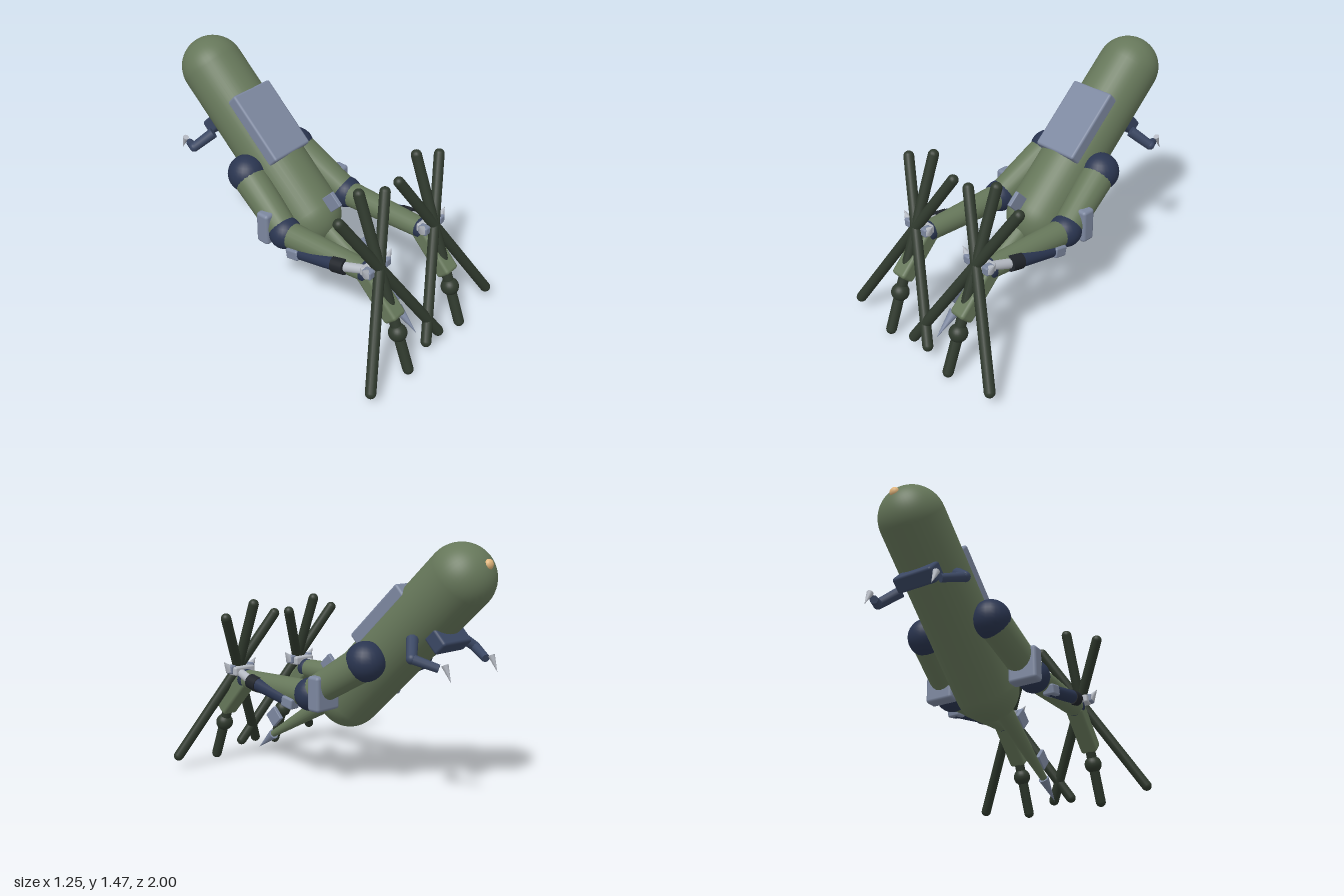
import * as THREE from 'three';
import { RoundedBoxGeometry } from 'three/addons/geometries/RoundedBoxGeometry.js';

const mat = (color) => new THREE.MeshStandardMaterial({ color });
const GREEN = mat(0x66775a), NAVY = mat(0x2a3550), ARM = mat(0x3a4763), STEEL = mat(0x7c879f);
const DARK = mat(0x2f392d), BLACK = mat(0x20242a), PALE = mat(0xb4b9c2), GLOW = mat(0xe3b67c);
const UP = new THREE.Vector3(0, 1, 0);
const V = (p) => new THREE.Vector3(...p);

function add(parent, name, geometry, material, pos = [0, 0, 0]) {
  const mesh = new THREE.Mesh(geometry, material);
  mesh.name = name;
  mesh.position.set(...pos);
  parent.add(mesh);
  return mesh;
}

// Put a y-aligned mesh between two points
function span(mesh, a, b) {
  mesh.position.copy(V(a)).add(V(b)).multiplyScalar(0.5);
  mesh.quaternion.setFromUnitVectors(UP, V(b).sub(V(a)).normalize());
  return mesh;
}
const dist = (a, b) => V(a).distanceTo(V(b));
const rod = (parent, name, a, b, ra, rb, material, sides = 20) =>
  span(add(parent, name, new THREE.CylinderGeometry(rb, ra, dist(a, b), sides), material), a, b);
const capsule = (parent, name, a, b, r, material) =>
  span(add(parent, name, new THREE.CapsuleGeometry(r, dist(a, b), 8, 16), material), a, b);
const ball = (parent, name, p, r, material) =>
  add(parent, name, new THREE.SphereGeometry(r, 24, 16), material, p);
const box = (parent, name, p, size, bevel, material) =>
  add(parent, name, new RoundedBoxGeometry(...size, 2, bevel), material, p);

function buildTorso(root) {
  // Leaning torso: local y runs along the body
  const torso = new THREE.Group();
  torso.name = 'torso';
  torso.position.set(0, 0.53, 0);
  torso.rotation.x = -0.817;
  root.add(torso);
  add(torso, 'body', new THREE.CapsuleGeometry(0.195, 1.097, 16, 40), GREEN, [0, 0.548, 0]);
  box(torso, 'upperPlate', [0, 0.6, 0.155], [0.306, 0.465, 0.09], 0.015, STEEL);
  box(torso, 'bellyBox', [0, 0.81, -0.195], [0.26, 0.095, 0.12], 0.016, ARM);
  const lamp = ball(root, 'noseLamp', [0, 1.36, -0.972], 0.03, GLOW);
  lamp.scale.z = 0.8;
}

function buildTail(root) {
  const tail = new THREE.Group();
  tail.name = 'tail';
  root.add(tail);
  rod(tail, 'tailCone', [0, 0.55, 0.03], [0, 0.16, 0.7], 0.073, 0.022, GREEN);
  rod(tail, 'tailSpike', [0, 0.16, 0.695], [0, 0.045, 0.84], 0.034, 0, STEEL, 12);
  for (const [y, z] of [[0.695, 0.175], [0.48, 0.422], [0.283, 0.682]]) {
    box(tail, 'tailFin', [0, y, z], [0.028, 0.1, 0.1], 0.005, STEEL).rotation.x = -0.82;
  }
}

function buildLeg(root, s) {
  const leg = new THREE.Group();
  leg.name = s > 0 ? 'leftLeg' : 'rightLeg';
  root.add(leg);
  const hip = [s * 0.222, 0.8, -0.316], knee = [s * 0.287, 0.57, 0.055];
  const ankle = [s * 0.268, 0.58, 0.645], toe = [s * 0.265, 0.355, 0.865];
  ball(leg, 'hip', hip, 0.117, NAVY);
  rod(leg, 'thigh', hip, knee, 0.106, 0.088, GREEN);
  ball(leg, 'knee', knee, 0.1, NAVY);
  box(leg, 'kneePad', [s * 0.29, 0.595, -0.05], [0.185, 0.21, 0.09], 0.02, STEEL);
  rod(leg, 'shin', knee, ankle, 0.082, 0.062, GREEN);
  ball(leg, 'ankle', ankle, 0.064, NAVY);
  span(box(leg, 'foot', [0, 0, 0], [0.11, dist(ankle, toe), 0.1], 0.02, GREEN), ankle, toe);

  // Launcher strapped along the shin
  const rear = [s * 0.335, 0.508, 0.15], front = [s * 0.328, 0.585, 0.5];
  const launcher = new THREE.Group();
  launcher.name = 'launcher';
  leg.add(launcher);
  rod(launcher, 'barrel', rear, front, 0.036, 0.043, NAVY);
  box(launcher, 'rearBlock', [s * 0.338, 0.513, 0.178], [0.075, 0.066, 0.09], 0.012, STEEL).rotation.x = -0.2;
  rod(launcher, 'cuff', [s * 0.328, 0.575, 0.465], [s * 0.326, 0.59, 0.545], 0.048, 0.046, BLACK);
  rod(launcher, 'wrist', [s * 0.324, 0.588, 0.53], [s * 0.298, 0.625, 0.68], 0.031, 0.026, PALE);

  // Hand and claws holding the star of poles
  box(leg, 'hand', [s * 0.268, 0.635, 0.695], [0.16, 0.055, 0.075], 0.012, PALE);
  for (const k of [-1, 1]) {
    const x = s * 0.265;
    box(leg, 'knuckle', [x + k * 0.075, 0.645, 0.715], [0.05, 0.055, 0.06], 0.012, STEEL);
    rod(leg, 'claw', [x + k * 0.085, 0.645, 0.715], [x + k * 0.133, 0.7, 0.715], 0.03, 0, PALE, 10);
  }
}

function buildStar(root, s) {
  const star = new THREE.Group();
  star.name = s > 0 ? 'leftPoleStar' : 'rightPoleStar';
  root.add(star);
  // All poles lie in one tilted plane
  const onPlane = (dx, y) => [s * 0.265 + dx, y, 0.573 + (1.063 - y) * 0.388];
  capsule(star, 'uprightPole', onPlane(0, 1.064), onPlane(0, 0.034), 0.032, DARK);
  for (const k of [-1, 1]) {
    capsule(star, 'slantedPole', onPlane(k * 0.2, 0.99), onPlane(-k * 0.327, 0.086), 0.032, DARK);
  }
  ball(star, 'poleKnob', onPlane(0, 0.262), 0.055, DARK);
}

function buildSmallArm(root, s) {
  const arm = new THREE.Group();
  arm.name = s > 0 ? 'leftSmallArm' : 'rightSmallArm';
  root.add(arm);
  const shoulder = [s * 0.195, 0.955, -0.625], elbow = [s * 0.295, 0.868, -0.7];
  const wrist = [s * 0.222, 0.82, -0.825];
  rod(arm, 'upperArm', shoulder, elbow, 0.034, 0.03, ARM, 10);
  ball(arm, 'elbow', elbow, 0.03, ARM);
  rod(arm, 'forearm', elbow, wrist, 0.029, 0.024, ARM, 10);
  rod(arm, 'handSpike', [s * 0.22, 0.843, -0.862], [s * 0.22, 0.752, -0.904], 0.02, 0, PALE, 10);
}

export function createModel() {
  const root = new THREE.Group();
  root.name = 'model';
  buildTorso(root);
  buildTail(root);
  for (const s of [-1, 1]) {
    buildLeg(root, s);
    buildStar(root, s);
    buildSmallArm(root, s);
  }
  return root;
}
